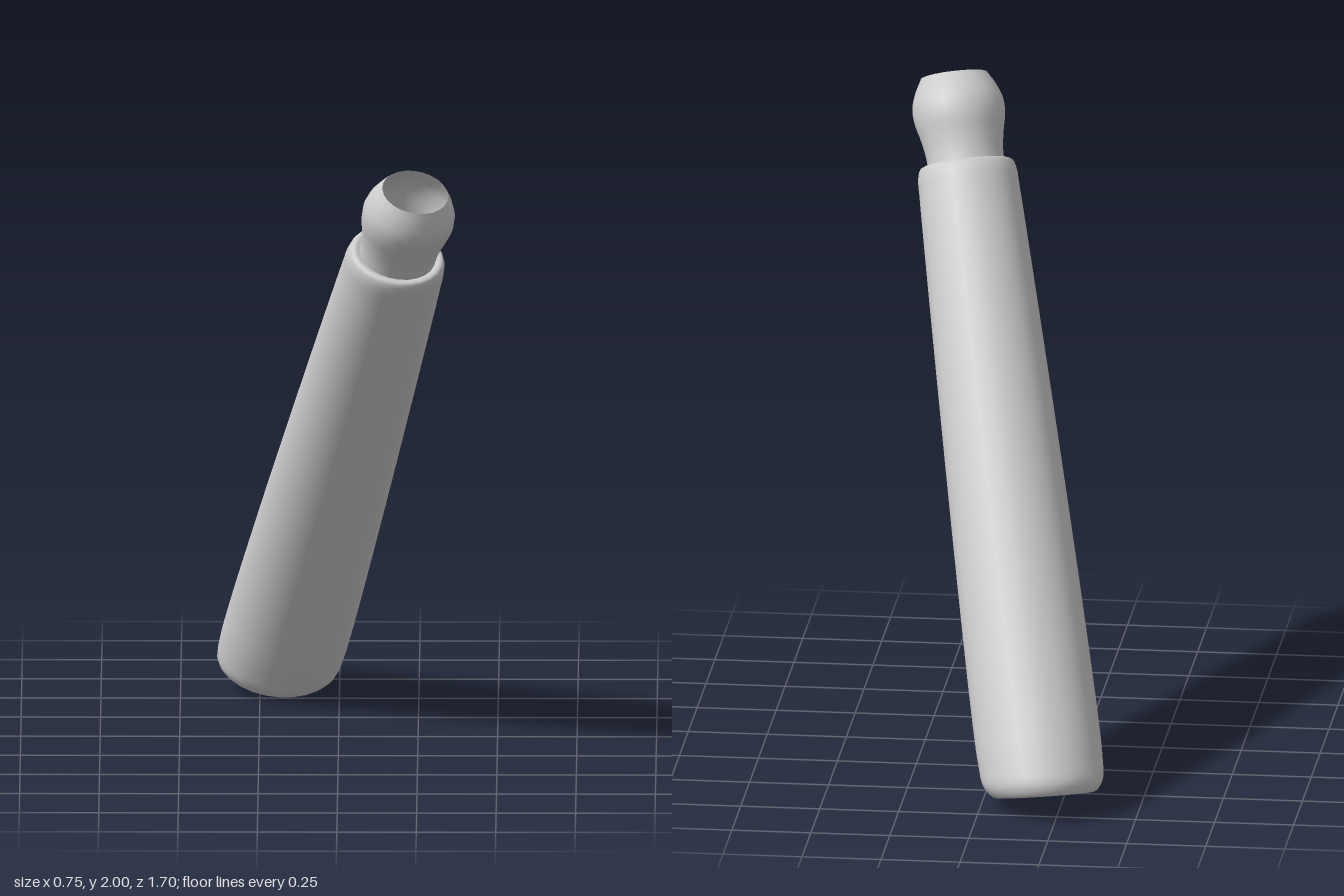
import * as THREE from 'three';

const SIDES = 24;
// slanted limb axis and two directions across it
const AXIS = new THREE.Vector3(0.235, 1, 0.765).normalize();
const ACROSS = new THREE.Vector3(0, -AXIS.z, AXIS.y).normalize();
const SIDE = new THREE.Vector3().crossVectors(AXIS, ACROSS).normalize();
// tilt of the cut at each end
const LOW_CUT = new THREE.Vector3(0.1, 1, 0.27).normalize();
const TOP_CUT = new THREE.Vector3(0.18, 1, 0.46).normalize();

const centreAt = y => new THREE.Vector3(
  0.02 + (y - 1) * 0.235, y, 0.055 + (y - 1) * 0.765 - Math.max(0, y - 1.7) * 0.1);

// ring plane: square to the axis in the middle, easing into the end cuts
function planeAt(y) {
  const n = AXIS.clone();
  n.lerp(LOW_CUT, 1 - THREE.MathUtils.smoothstep(y, 0.08, 0.75));
  n.lerp(TOP_CUT, THREE.MathUtils.smoothstep(y, 1.2, 1.68));
  return n.normalize();
}

// loft round rings along the axis; profile entries are [centre height, radius]
function limb(name, profile, samples) {
  const curve = new THREE.CatmullRomCurve3(
    profile.map(([y, r]) => new THREE.Vector3(r, y, 0)), false, 'centripetal');
  const pos = [], index = [];
  for (let i = 0; i <= samples; i++) {
    const p = curve.getPoint(i / samples);
    const c = centreAt(p.y), n = planeAt(p.y);
    for (let j = 0; j < SIDES; j++) {
      const a = j / SIDES * Math.PI * 2;
      const q = ACROSS.clone().multiplyScalar(Math.cos(a) * p.x)
        .addScaledVector(SIDE, Math.sin(a) * p.x);
      q.addScaledVector(AXIS, -q.dot(n) / AXIS.dot(n)).add(c);
      pos.push(q.x, q.y, q.z);
      if (i < samples) {
        const k = (j + 1) % SIDES, b = i * SIDES, t = b + SIDES;
        index.push(b + j, b + k, t + j, b + k, t + k, t + j);
      }
    }
  }
  const g = new THREE.BufferGeometry();
  g.setAttribute('position', new THREE.Float32BufferAttribute(pos, 3));
  // SIDE = AXIS x ACROSS, so this order faces outward
  g.setIndex(index);
  g.computeVertexNormals();
  const mesh = new THREE.Mesh(g, new THREE.MeshStandardMaterial({
    color: 0xcccccc, side: THREE.DoubleSide }));
  mesh.name = name;
  return mesh;
}

export function createModel() {
  const model = new THREE.Group();
  model.name = 'limb';
  // sleeve: inner lip, rounded lower rim, tapering tube, rounded shoulder
  model.add(limb('sleeve', [
    [0.17, 0.125], [0.09, 0.127], [0.055, 0.138], [0.05, 0.158], [0.08, 0.188],
    [0.14, 0.196], [0.25, 0.198], [0.6, 0.192], [1, 0.181], [1.4, 0.168],
    [1.64, 0.159], [1.69, 0.156], [1.712, 0.147], [1.716, 0.135], [1.712, 0.12],
  ], 70));
  // ball end: narrow neck swelling to an open-topped ball
  model.add(limb('ballEnd', [
    [1.66, 0.122], [1.74, 0.122], [1.79, 0.131], [1.84, 0.144],
    [1.88, 0.144], [1.92, 0.128], [1.955, 0.105],
  ], 24));
  return model;
}
